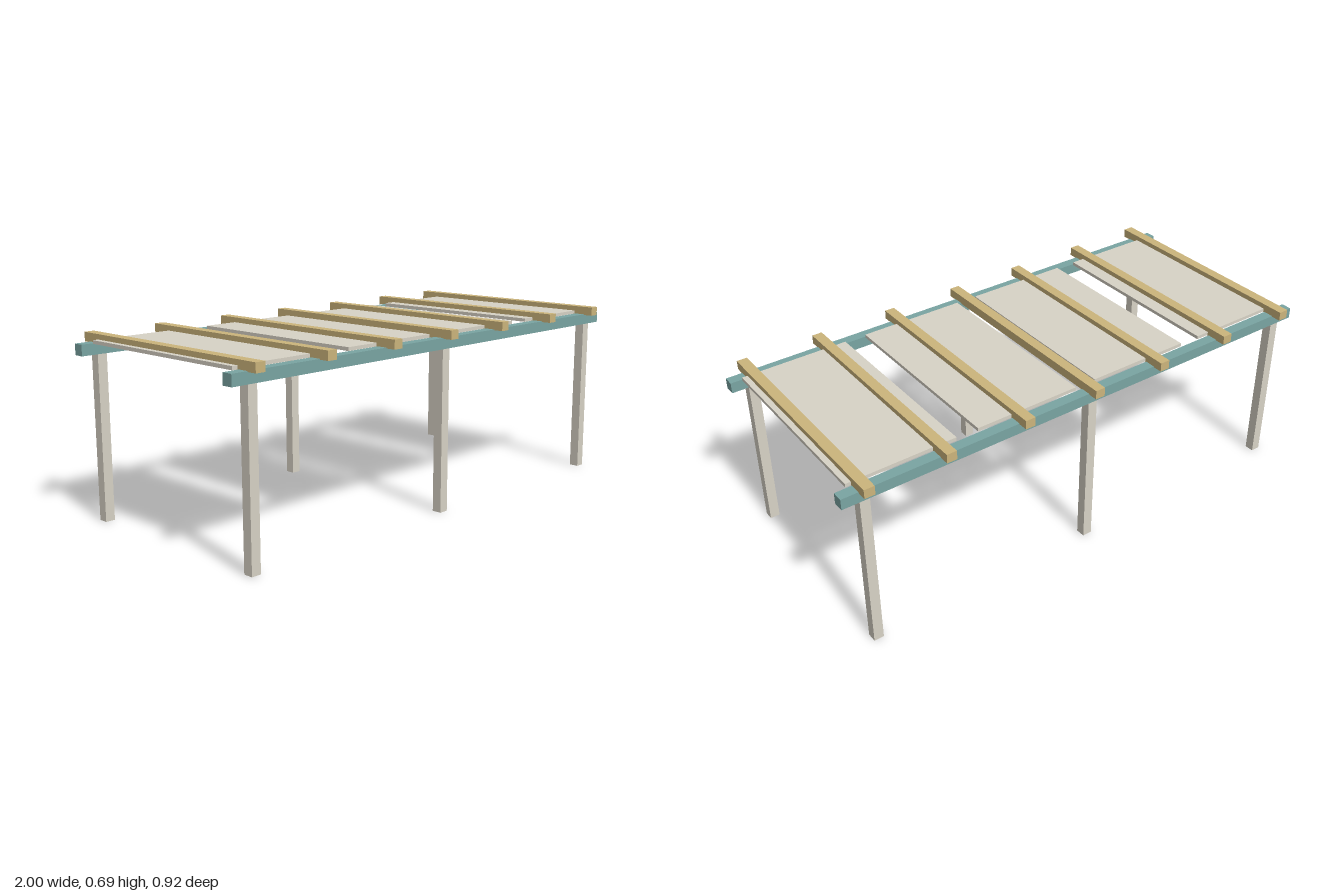
import * as THREE from 'three';

const postMat = new THREE.MeshStandardMaterial({ color: 0xd8d3c6 });
const beamMat = new THREE.MeshStandardMaterial({ color: 0x7aa5a3 });
const rafterMat = new THREE.MeshStandardMaterial({ color: 0xccb57c });

// Box spanning y0..y1, centred on x and z
function addBox(parent, name, mat, w, d, y0, y1, x, z) {
  const mesh = new THREE.Mesh(new THREE.BoxGeometry(w, y1 - y0, d), mat);
  mesh.name = name;
  mesh.position.set(x, (y0 + y1) / 2, z);
  parent.add(mesh);
}

export function createModel() {
  const pergola = new THREE.Group();
  pergola.name = 'pergola';

  // Two long beams, each carried by three posts
  for (const z of [-0.401, 0.401]) {
    addBox(pergola, 'beam', beamMat, 2, 0.041, 0.613, 0.654, 0, z);
    for (const x of [-0.917, 0, 0.917]) {
      addBox(pergola, 'post', postMat, 0.037, 0.037, 0, 0.613, x, z);
    }
  }

  // Rafters laid across the beams
  for (const x of [-0.917, -0.615, -0.301, 0, 0.301, 0.615, 0.917]) {
    addBox(pergola, 'rafter', rafterMat, 0.039, 0.917, 0.651, 0.685, x, 0);
  }

  // Thin shade panels between the beams
  for (const x of [-0.75, -0.25, 0.25, 0.75]) {
    addBox(pergola, 'shadePanel', postMat, 0.415, 0.75, 0.653, 0.666, x, 0);
  }

  return pergola;
}
